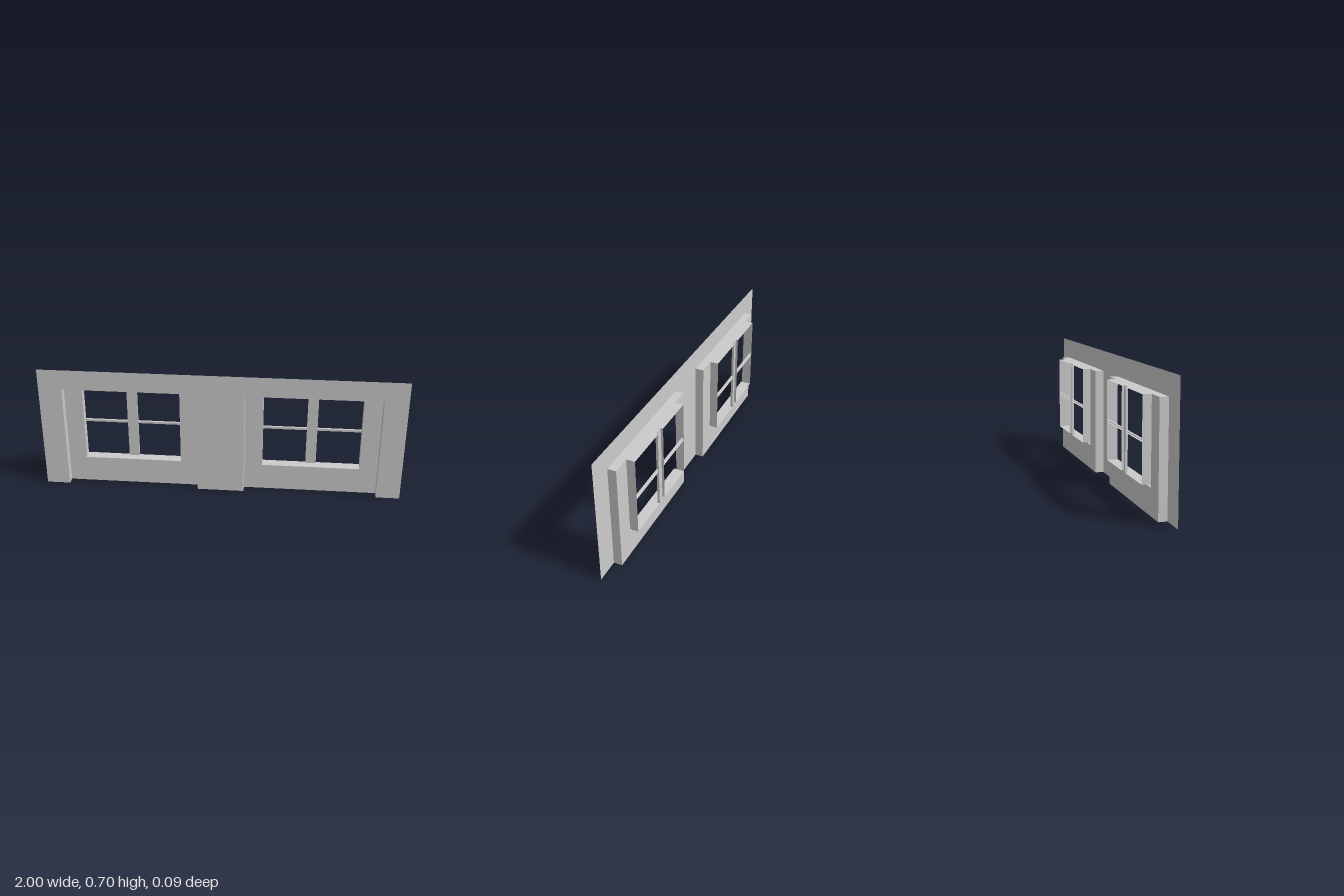
import * as THREE from 'three';

const material = new THREE.MeshStandardMaterial({ color: 0xcccccc, side: THREE.DoubleSide });

// Depths of the layers, front to back
const WALL = 0.046, LIP = 0.014, PANEL = 0, BAR = -0.033, BACK = -0.046;
// Heights
const TOP = 0.7, HEAD = 0.587, SILL = 0.157, SILL_LOW = 0.14;
// Half widths, measured from the middle of a window bay
const BAY = 0.37, OPENING = 0.27, MULLION = 0.029;

function add(parent, name, geometry) {
  const mesh = new THREE.Mesh(geometry, material);
  mesh.name = name;
  parent.add(mesh);
  return mesh;
}

// Flat sheet facing the front, from a list of [x, y] corners
function sheet(parent, name, points, z) {
  const shape = new THREE.Shape(points.map(([x, y]) => new THREE.Vector2(x, y)));
  add(parent, name, new THREE.ShapeGeometry(shape).translate(0, 0, z));
}

const rectangle = (x0, x1, y0, y1) => [[x0, y0], [x1, y0], [x1, y1], [x0, y1]];

// Upright sheet facing sideways at x
function side(parent, name, x, y0, y1, z0, z1) {
  const g = new THREE.PlaneGeometry(z0 - z1, y1 - y0).rotateY(Math.PI / 2);
  add(parent, name, g.translate(x, (y0 + y1) / 2, (z0 + z1) / 2));
}

// Level sheet facing up at y
function level(parent, name, x0, x1, y, z0, z1) {
  const g = new THREE.PlaneGeometry(x1 - x0, z0 - z1).rotateX(-Math.PI / 2);
  add(parent, name, g.translate((x0 + x1) / 2, y, (z0 + z1) / 2));
}

function windowBay() {
  const bay = new THREE.Group();
  bay.name = 'windowBay';

  // Recessed panel, open above the sill up to the head
  sheet(bay, 'recessPanel', [
    [-BAY, 0], [BAY, 0], [BAY, HEAD], [OPENING, HEAD], [OPENING, SILL_LOW],
    [-OPENING, SILL_LOW], [-OPENING, HEAD], [-BAY, HEAD],
  ], PANEL);
  level(bay, 'recessHead', -BAY, BAY, HEAD, WALL, PANEL);
  level(bay, 'mullionHead', -MULLION, MULLION, HEAD, PANEL, BAR);

  // Projecting sill lip
  level(bay, 'sill', -OPENING, OPENING, SILL, LIP, BAR);
  level(bay, 'sillUnderside', -OPENING, OPENING, SILL_LOW, LIP, PANEL);
  sheet(bay, 'sillFront', rectangle(-OPENING, OPENING, SILL_LOW, SILL), LIP);

  // Mullion: a channel open at the back
  sheet(bay, 'mullionFront', rectangle(-MULLION, MULLION, SILL, HEAD), BAR);

  for (const s of [-1, 1]) {
    side(bay, 'recessSide', s * BAY, 0, HEAD, WALL, PANEL);
    side(bay, 'windowJamb', s * OPENING, SILL, HEAD, PANEL, BACK);
    side(bay, 'sillEnd', s * OPENING, SILL_LOW, SILL, LIP, PANEL);
    side(bay, 'mullionSide', s * MULLION, SILL, HEAD, BAR, BACK);

    // Head, sill and glazing bar of each half of the window
    const [x0, x1] = s > 0 ? [MULLION, OPENING] : [-OPENING, -MULLION];
    level(bay, 'windowHead', x0, x1, HEAD, PANEL, BACK);
    level(bay, 'sillBack', x0, x1, SILL, BAR, BACK);
    sheet(bay, 'glazingBarFront', rectangle(x0, x1, 0.362, 0.374), BAR);
    level(bay, 'glazingBarTop', x0, x1, 0.374, BAR, BACK);
    level(bay, 'glazingBarBottom', x0, x1, 0.362, BAR, BACK);
  }
  return bay;
}

export function createModel() {
  const model = new THREE.Group();
  model.name = 'windowWall';

  // Front wall with two bays cut up from the ground
  sheet(model, 'frontWall', [
    [-1, 0], [-0.5 - BAY, 0], [-0.5 - BAY, HEAD], [-0.5 + BAY, HEAD], [-0.5 + BAY, 0],
    [0.5 - BAY, 0], [0.5 - BAY, HEAD], [0.5 + BAY, HEAD], [0.5 + BAY, 0],
    [1, 0], [1, TOP], [-1, TOP],
  ], WALL);

  for (const x of [-0.5, 0.5]) {
    const bay = windowBay();
    bay.position.x = x;
    model.add(bay);
  }
  return model;
}
